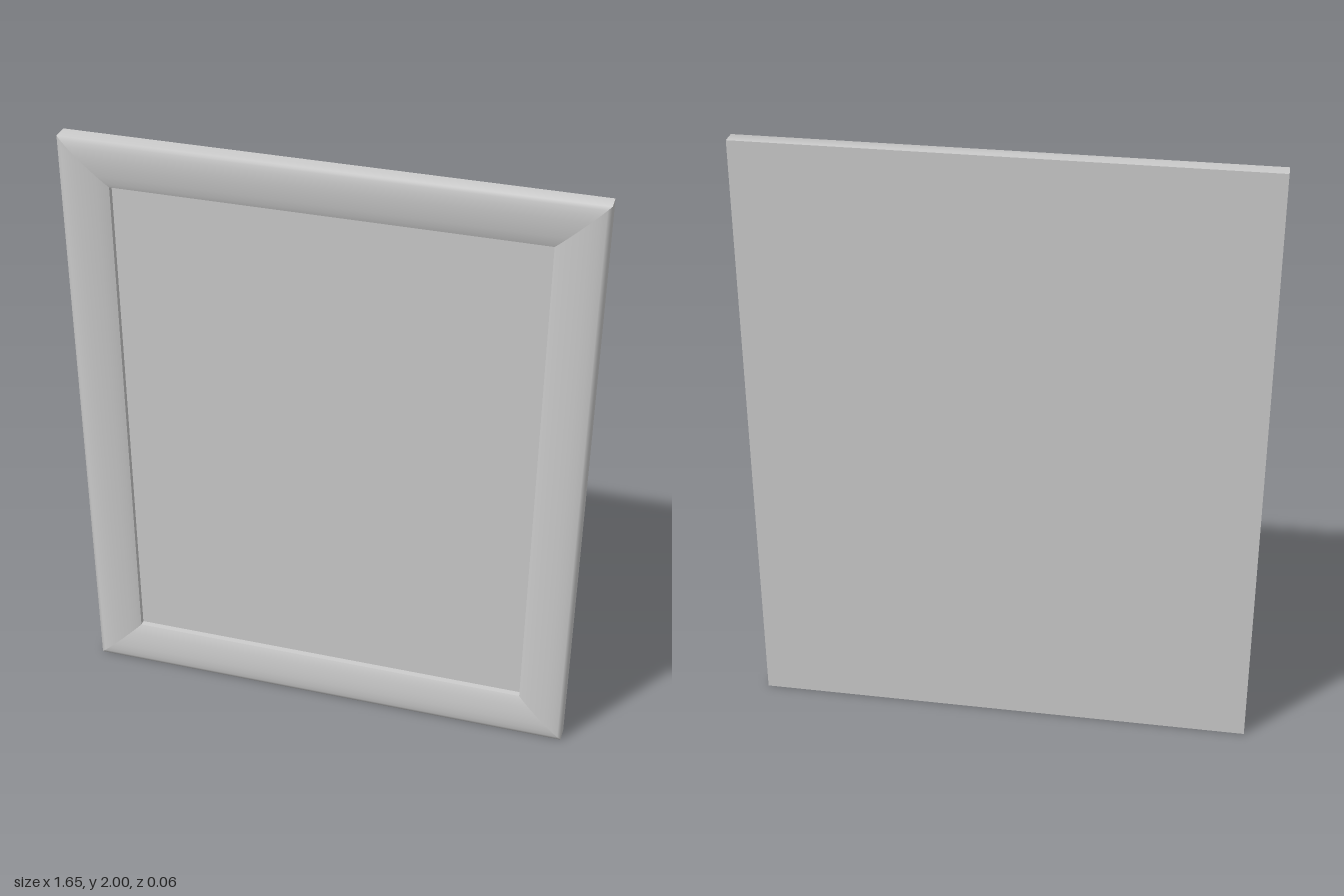
import * as THREE from 'three';

const HALF_W = 0.823, HALF_H = 1, INSET = 0.152;
const BACK_Z = -0.03, PANEL_Z = -0.005;

// Moulding cross-section as [inset from the outer edge, z], from back to inner lip
const MOULDING = [[0, BACK_Z], [0, 0.022], [0.012, 0.026], [0.03, 0.029], [0.055, 0.03],
  [0.085, 0.028], [0.115, 0.024], [0.138, 0.019], [INSET, 0.014]];
// Straight inner wall from the lip down to the panel
const REBATE = [[INSET, 0.014], [INSET, PANEL_Z]];

// Sweep a cross-section along one side, cutting both ends at 45 degrees
function mitredStrip(profile, halfLength, halfAcross) {
  const pos = [], index = [];
  profile.forEach(([d, z], i) => {
    pos.push(-(halfLength - d), halfAcross - d, z, halfLength - d, halfAcross - d, z);
    if (i > 0) {
      const a = 2 * (i - 1);
      index.push(a, a + 2, a + 1, a + 1, a + 2, a + 3);
    }
  });
  const g = new THREE.BufferGeometry();
  g.setAttribute('position', new THREE.Float32BufferAttribute(pos, 3));
  g.setIndex(index);
  g.computeVertexNormals();
  return g;
}

export function createModel() {
  const group = new THREE.Group();
  group.name = 'pictureFrame';
  const grey = new THREE.MeshStandardMaterial({ color: 0xcccccc, side: THREE.DoubleSide });
  grey.name = 'light grey';

  const add = (name, geometry, parent) => {
    const mesh = new THREE.Mesh(geometry, grey);
    mesh.name = name;
    parent.add(mesh);
    return mesh;
  };

  // Four mitred frame members
  ['topRail', 'rightStile', 'bottomRail', 'leftStile'].forEach((name, i) => {
    const [along, across] = i % 2 ? [HALF_H, HALF_W] : [HALF_W, HALF_H];
    const member = new THREE.Group();
    member.name = name;
    add(name + 'Moulding', mitredStrip(MOULDING, along, across), member);
    add(name + 'InnerWall', mitredStrip(REBATE, along, across), member);
    member.rotation.z = i * Math.PI / 2;
    member.position.y = HALF_H;
    group.add(member);
  });

  // Recessed picture panel
  const panel = add('picturePanel',
    new THREE.PlaneGeometry(2 * (HALF_W - INSET), 2 * (HALF_H - INSET)), group);
  panel.position.set(0, HALF_H, PANEL_Z);

  // Flat back
  const back = add('backBoard', new THREE.PlaneGeometry(2 * HALF_W, 2 * HALF_H), group);
  back.rotation.y = Math.PI;
  back.position.set(0, HALF_H, BACK_Z);

  return group;
}
